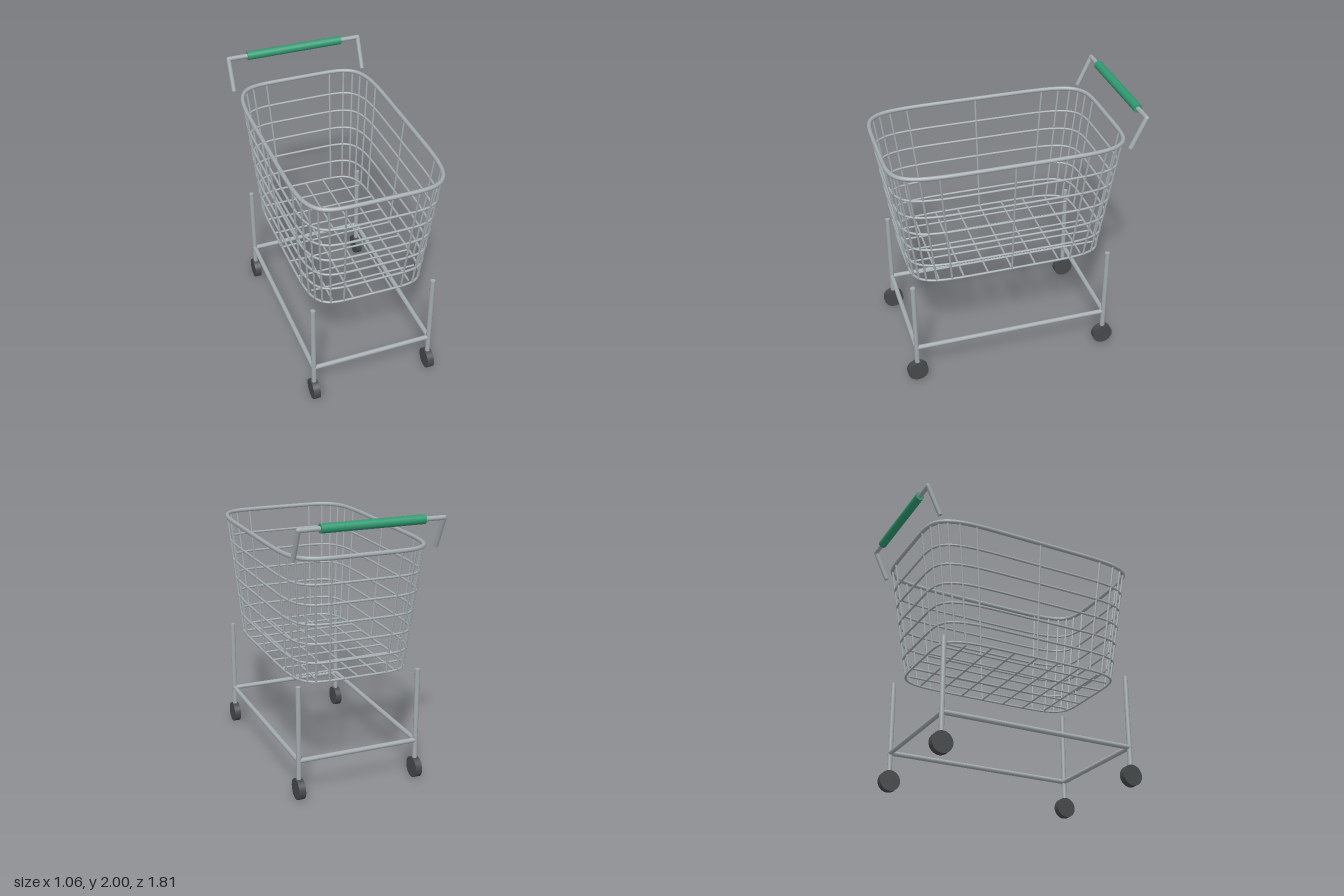
import * as THREE from 'three';

const steel = new THREE.MeshStandardMaterial({ color: 0xa3abae });
const rubber = new THREE.MeshStandardMaterial({ color: 0x46494b });
const green = new THREE.MeshStandardMaterial({ color: 0x2f9a72 });

const V = (x, y, z) => new THREE.Vector3(x, y, z);
const MID_Z = 0.045;
const FLOOR_Y = 0.847, RIM_Y = 1.75;
const FLOOR = [0.435, 0.715], RIM = [0.515, 0.845];

// Straight round bar between two points
function rod(name, a, b, radius, material = steel, sides = 12) {
  const dir = b.clone().sub(a);
  const mesh = new THREE.Mesh(new THREE.CylinderGeometry(radius, radius, dir.length(), sides), material);
  mesh.position.copy(a).add(b).multiplyScalar(0.5);
  mesh.quaternion.setFromUnitVectors(V(0, 1, 0), dir.normalize());
  mesh.name = name;
  return mesh;
}

// Point on the basket wall: a rounded oblong that widens with height
function wallPoint(angle, y) {
  const k = (y - FLOOR_Y) / (RIM_Y - FLOOR_Y);
  const a = THREE.MathUtils.lerp(FLOOR[0], RIM[0], k);
  const b = THREE.MathUtils.lerp(FLOOR[1], RIM[1], k);
  const bulge = (v) => (Math.abs(v) < 1e-9 ? 0 : Math.sign(v) * Math.cbrt(Math.abs(v)));
  return V(a * bulge(Math.cos(angle)), y, MID_Z + b * bulge(Math.sin(angle)));
}

function hoop(name, y, radius) {
  const pts = [];
  for (let i = 0; i < 104; i++) pts.push(wallPoint((i / 104) * Math.PI * 2, y));
  const curve = new THREE.CatmullRomCurve3(pts, true);
  const mesh = new THREE.Mesh(new THREE.TubeGeometry(curve, 200, radius, 8, true), steel);
  mesh.name = name;
  return mesh;
}

function buildBasket() {
  const basket = new THREE.Group();
  basket.name = 'basket';
  // Rim and horizontal hoops
  basket.add(hoop('rim', RIM_Y, 0.016));
  for (let i = 0; i < 6; i++) basket.add(hoop('hoop', FLOOR_Y + i * 0.1443, 0.009));
  // Upright wires
  for (let i = 0; i < 26; i++) {
    const t = (i / 26) * Math.PI * 2;
    basket.add(rod('uprightWire', wallPoint(t, FLOOR_Y), wallPoint(t, RIM_Y), 0.008, steel, 8));
  }
  // Floor grid
  const reach = (f) => Math.pow(1 - f ** 4, 0.25);
  for (let i = -2; i <= 2; i++) {
    const x = (FLOOR[0] * i) / 3, h = FLOOR[1] * reach(i / 3);
    basket.add(rod('floorWireLong', V(x, FLOOR_Y, MID_Z - h), V(x, FLOOR_Y, MID_Z + h), 0.008, steel, 8));
  }
  for (let i = -3; i <= 3; i++) {
    const z = MID_Z + (FLOOR[1] * i) / 4, h = FLOOR[0] * reach(i / 4);
    basket.add(rod('floorWireCross', V(-h, FLOOR_Y, z), V(h, FLOOR_Y, z), 0.008, steel, 8));
  }
  return basket;
}

function buildChassis() {
  const chassis = new THREE.Group();
  chassis.name = 'chassis';
  const X = 0.454, FRONT = 0.782, BACK = -0.688, BAR_Y = 0.292;
  for (const z of [FRONT, BACK]) {
    for (const x of [-X, X]) {
      // Leg and wheel
      chassis.add(rod('leg', V(x, 0.08, z), V(x, 0.845, z), 0.018));
      chassis.add(rod('wheel', V(x - 0.025, 0.078, z), V(x + 0.025, 0.078, z), 0.077, rubber, 32));
    }
    chassis.add(rod('crossBar', V(-X, BAR_Y, z), V(X, BAR_Y, z), 0.018));
  }
  for (const x of [-X, X]) chassis.add(rod('sideBar', V(x, BAR_Y, BACK), V(x, BAR_Y, FRONT), 0.018));
  return chassis;
}

function buildHandle() {
  const handle = new THREE.Group();
  handle.name = 'handle';
  const X = 0.515, Y = 1.968, Z = -0.873, R = 0.017;
  for (const x of [-X, X]) {
    handle.add(rod('handleArm', V(x, 1.75, -0.772), V(x, Y, Z), R));
    // Rounded elbow
    const elbow = new THREE.Mesh(new THREE.SphereGeometry(R, 12, 8), steel);
    elbow.position.set(x, Y, Z);
    elbow.name = 'elbow';
    handle.add(elbow);
  }
  handle.add(rod('handleBar', V(-X, Y, Z), V(X, Y, Z), R));
  handle.add(rod('grip', V(-0.37, Y, Z), V(0.37, Y, Z), 0.032, green, 20));
  return handle;
}

export function createModel() {
  const cart = new THREE.Group();
  cart.name = 'shoppingCart';
  cart.add(buildBasket(), buildChassis(), buildHandle());
  return cart;
}
